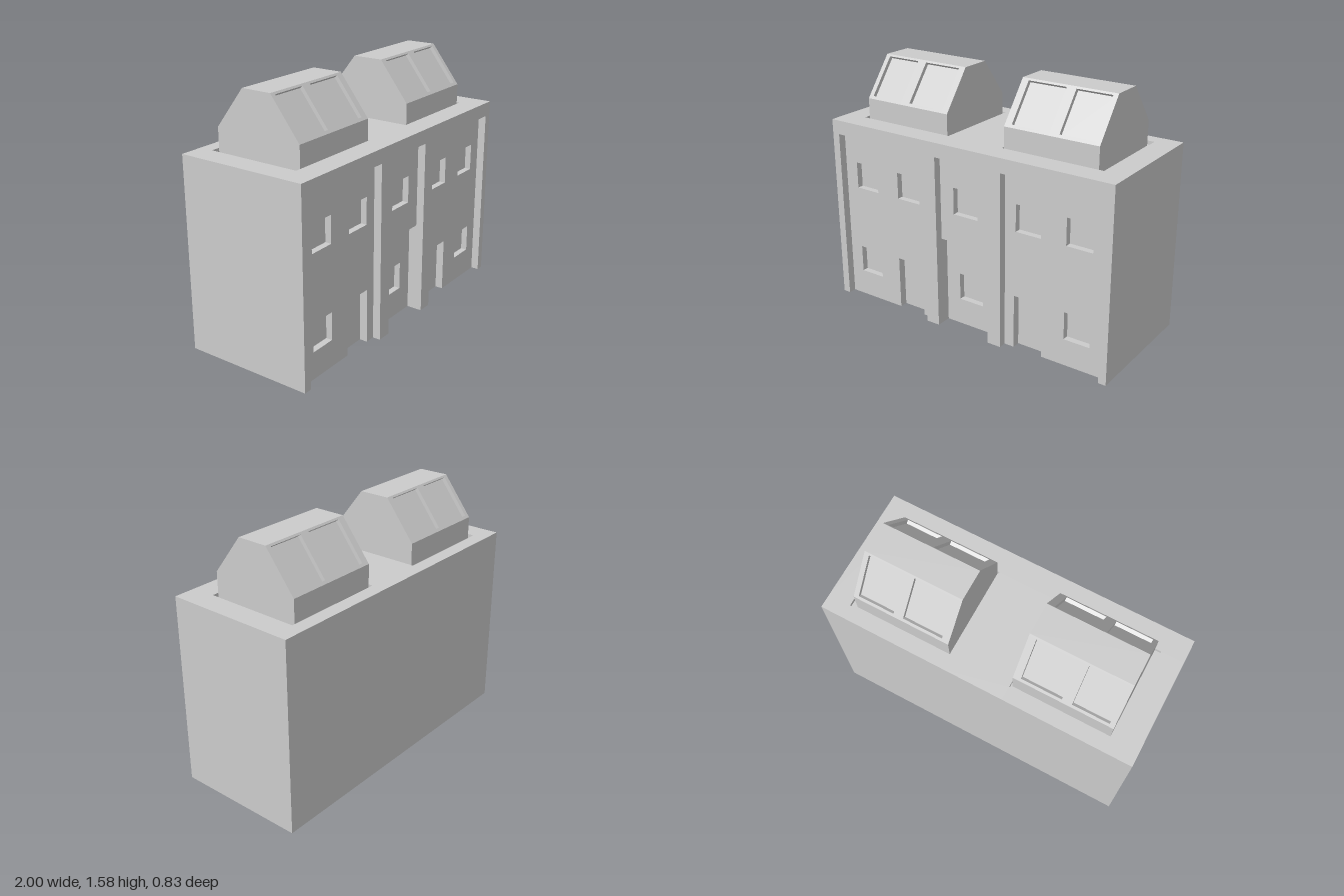
import * as THREE from 'three';
import { mergeGeometries } from 'three/addons/utils/BufferGeometryUtils.js';

const material = new THREE.MeshStandardMaterial({ color: 0xcccccc, flatShading: true, side: THREE.DoubleSide });

function addMesh(parent, name, geometry) {
  const mesh = new THREE.Mesh(geometry, material);
  mesh.name = name;
  parent.add(mesh);
  return mesh;
}

// Upright rectangle facing +z
function rectangle([x0, x1, y0, y1], z) {
  return new THREE.PlaneGeometry(x1 - x0, y1 - y0).translate((x0 + x1) / 2, (y0 + y1) / 2, z);
}

// Four side faces of a recess, or three when it is open at the bottom
function reveals([x0, x1, y0, y1], front, back, openBottom) {
  const d = front - back, z = (front + back) / 2, w = x1 - x0, h = y1 - y0;
  const x = (x0 + x1) / 2, y = (y0 + y1) / 2, q = Math.PI / 2;
  const faces = [
    new THREE.PlaneGeometry(d, h).rotateY(q).translate(x0, y, z),
    new THREE.PlaneGeometry(d, h).rotateY(-q).translate(x1, y, z),
    new THREE.PlaneGeometry(w, d).rotateX(q).translate(x, y1, z),
  ];
  if (!openBottom) faces.push(new THREE.PlaneGeometry(w, d).rotateX(-q).translate(x, y0, z));
  return faces;
}

// Flat panel split around its recesses; each recess is a deeper panel of its own
function addPanel(parent, { name, rect, recesses = [], depth = 0, openBottom = false }, z = 0) {
  const back = z - depth;
  const cuts = (a, b) => [...new Set([rect[a], rect[b], ...recesses.flatMap(r => [r.rect[a], r.rect[b]])])]
    .sort((m, n) => m - n);
  const xs = cuts(0, 1), ys = cuts(2, 3);
  const faces = depth ? reveals(rect, z, back, openBottom) : [];
  for (let i = 0; i + 1 < xs.length; i++) {
    for (let j = 0; j + 1 < ys.length; j++) {
      const x = (xs[i] + xs[i + 1]) / 2, y = (ys[j] + ys[j + 1]) / 2;
      const cut = recesses.some(({ rect: r }) => x > r[0] && x < r[1] && y > r[2] && y < r[3]);
      if (!cut) faces.push(rectangle([xs[i], xs[i + 1], ys[j], ys[j + 1]], back));
    }
  }
  if (faces.length) addMesh(parent, name, mergeGeometries(faces));
  recesses.forEach(r => addPanel(parent, r, back));
}

const mirrorRect = ([x0, x1, y0, y1], s) => (s > 0 ? [x0, x1, y0, y1] : [-x1, -x0, y0, y1]);

const H = 1.205, D = 0.415;

function createFacade() {
  const facade = new THREE.Group();
  facade.name = 'facade';
  const window = (x0, x1, y0, y1) => ({ name: 'window', rect: [x0, x1, y0, y1], depth: 0.04 });

  // Side bays with three windows and a door
  const bays = [-1, 1].map(s => {
    const place = r => ({ ...r, rect: mirrorRect(r.rect, s) });
    return place({
      name: 'sideBay', rect: [0.28, 0.95, 0, 1.115], depth: 0.05, openBottom: true,
      recesses: [
        window(0.355, 0.525, 0.76, 0.93),
        window(0.69, 0.86, 0.76, 0.93),
        window(0.69, 0.86, 0.17, 0.345),
        { name: 'door', rect: [0.345, 0.54, 0, 0.345], depth: 0.05, openBottom: true },
      ].map(place),
    });
  });

  // Middle bay, set further back on the ground floor
  const middle = {
    name: 'middleBay', rect: [-0.187, 0.187, 0, 1.115], depth: 0.05, openBottom: true,
    recesses: [
      window(-0.09, 0.085, 0.76, 0.93),
      {
        name: 'groundFloorBay', rect: [-0.187, 0.187, 0, 0.575], depth: 0.05, openBottom: true,
        recesses: [window(-0.09, 0.085, 0.17, 0.345)],
      },
    ],
  };
  addPanel(facade, { name: 'frontWall', rect: [-1, 1, 0, H], recesses: [...bays, middle] });
  facade.position.z = D;
  return facade;
}

// Roof light with sloped glazing at the front and back
function createDormer(s) {
  const dormer = new THREE.Group();
  dormer.name = s > 0 ? 'leftDormer' : 'rightDormer';
  const w = 0.308, base = 1.18, eave = 1.335, top = 1.58, zOut = 0.2875, zTop = 0.0975;
  const run = zOut - zTop, rise = top - eave, slope = Math.hypot(run, rise);

  for (const f of [1, -1]) {
    const side = new THREE.Group();
    side.name = f > 0 ? 'frontSide' : 'backSide';
    side.rotation.y = f > 0 ? 0 : Math.PI;
    addMesh(side, 'lowWall', rectangle([-w, w, base, eave], zOut));

    const glazing = new THREE.Group();
    glazing.name = 'slopedGlazing';
    glazing.position.set(0, eave, zOut);
    glazing.rotation.x = -Math.atan2(run, rise);
    addPanel(glazing, {
      name: 'slope', rect: [-w, w, 0, slope],
      recesses: [[-0.263, -0.012], [0.05, 0.278]].map(([a, b]) => ({
        name: 'skylight', rect: mirrorRect([a, b, 0.02, 0.296], s * f), depth: 0.024,
      })),
    });
    side.add(glazing);
    dormer.add(side);
  }

  const profile = new THREE.Shape([
    [-zOut, base], [zOut, base], [zOut, eave], [zTop, top], [-zTop, top], [-zOut, eave],
  ].map(p => new THREE.Vector2(...p)));
  for (const e of [1, -1]) {
    addMesh(dormer, 'endWall', new THREE.ShapeGeometry(profile).rotateY(e * Math.PI / 2).translate(e * w, 0, 0));
  }
  addMesh(dormer, 'dormerTop', new THREE.PlaneGeometry(2 * w, 2 * zTop).rotateX(-Math.PI / 2).translate(0, top, 0));
  dormer.position.set(s * 0.512, 0, -0.0225);
  return dormer;
}

export function createModel() {
  const model = new THREE.Group();
  model.name = 'building';
  model.add(createFacade());

  // Plain walls, open underneath
  addMesh(model, 'backWall', rectangle([-1, 1, 0, H], D).rotateY(Math.PI));
  for (const s of [1, -1]) {
    addMesh(model, s > 0 ? 'leftWall' : 'rightWall', rectangle([-D, D, 0, H], 1).rotateY(s * Math.PI / 2));
  }

  // Flat roof with a shallow well around each dormer
  const roof = new THREE.Group();
  roof.name = 'roof';
  roof.rotation.x = -Math.PI / 2;
  roof.position.y = H;
  addPanel(roof, {
    name: 'flatRoof', rect: [-1, 1, -D, D],
    recesses: [1, -1].map(s => ({
      name: 'roofWell', rect: mirrorRect([0.193, 0.857, -0.268, 0.328], s), depth: 0.025,
    })),
  });
  model.add(roof, createDormer(1), createDormer(-1));
  return model;
}
